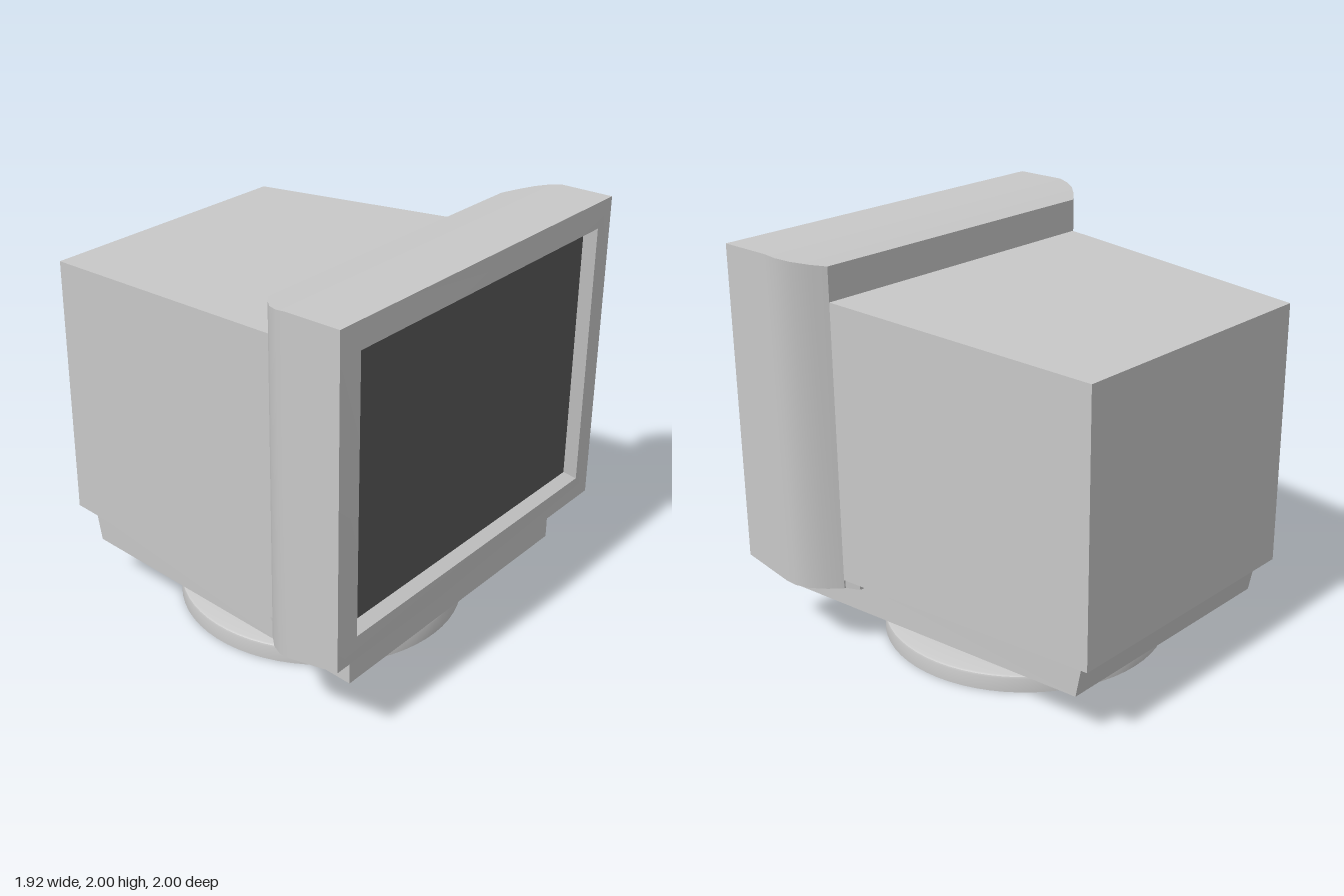
import * as THREE from 'three';
import { toCreasedNormals } from 'three/addons/utils/BufferGeometryUtils.js';

// Joins rectangular sections along x. Each section: [x, bottom, top, half depth, x of the bottom edge].
function loft(sections, capFront = true) {
  const pos = [], idx = [];
  for (const [x, y0, y1, hz, xb = x] of sections) {
    pos.push(xb, y0, hz, xb, y0, -hz, x, y1, -hz, x, y1, hz);
  }
  idx.push(0, 2, 1, 0, 3, 2);
  for (let i = 0; i < sections.length - 1; i++) {
    for (let j = 0; j < 4; j++) {
      const a = i * 4 + j, b = i * 4 + (j + 1) % 4;
      idx.push(a, b, b + 4, a, b + 4, a + 4);
    }
  }
  const e = (sections.length - 1) * 4;
  if (capFront) idx.push(e, e + 1, e + 2, e, e + 2, e + 3);
  const geo = new THREE.BufferGeometry();
  geo.setAttribute('position', new THREE.Float32BufferAttribute(pos, 3));
  geo.setIndex(idx);
  return toCreasedNormals(geo, 0.5);
}

export function createModel() {
  const model = new THREE.Group();
  model.name = 'monitor';
  const casing = new THREE.MeshStandardMaterial({ color: 0xc8c8c8 });
  casing.name = 'casing grey';
  const openCasing = casing;
  openCasing.side = THREE.DoubleSide;
  const glass = new THREE.MeshStandardMaterial({ color: 0x595959 });
  glass.name = 'screen grey';

  const add = (name, geometry, material = casing) => {
    const mesh = new THREE.Mesh(geometry, material);
    mesh.name = name;
    model.add(mesh);
    return mesh;
  };

  // Tapered rear housing
  add('rearHousing', loft([
    [-0.96, 0.4, 1.715, 0.715],
    [0.45, 0.4, 1.787, 0.837],
  ]));

  // Front surround with rounded shoulders, running on into the recessed opening
  add('bezel', loft([
    [0.45, 0.356, 1.952, 0.837],
    [0.5, 0.361, 1.964, 0.9],
    [0.56, 0.367, 1.978, 0.957],
    [0.62, 0.374, 1.99, 0.99],
    [0.68, 0.383, 2.0, 1.0],
    [0.95, 0.432, 2.0, 1.0],
    [0.957, 0.557, 1.877, 0.88],
    [0.905, 0.592, 1.845, 0.84],
  ], false));

  // Lip of the surround under the housing
  add('bezelLip', loft([
    [0.39, 0.35, 0.402, 0.79],
    [0.46, 0.357, 0.402, 0.835],
  ]));

  // Screen
  const screen = add('screen', new THREE.BoxGeometry(0.008, 1.255, 1.682), glass);
  screen.position.set(0.902, 1.2185, 0);

  // Tapered tray below the housing, with a sloping back
  add('tray', loft([
    [-0.895, 0.218, 0.402, 0.668, -0.858],
    [0.857, 0.218, 0.415, 0.8],
  ]));

  // Swivel plate
  const plate = add('swivelPlate', new THREE.BoxGeometry(1.14, 0.075, 1.14));
  plate.position.set(0.035, 0.182, 0);

  // Hollow round foot and neck, open underneath
  const profile = [
    [0.71, 0], [0.71, 0.072], [0.707, 0.081], [0.698, 0.086],
    [0.355, 0.086], [0.355, 0.146],
  ].map(([r, y]) => new THREE.Vector2(r, y));
  const foot = add('foot', toCreasedNormals(new THREE.LatheGeometry(profile, 64), 0.6), openCasing);
  foot.position.x = 0.035;

  return model;
}
